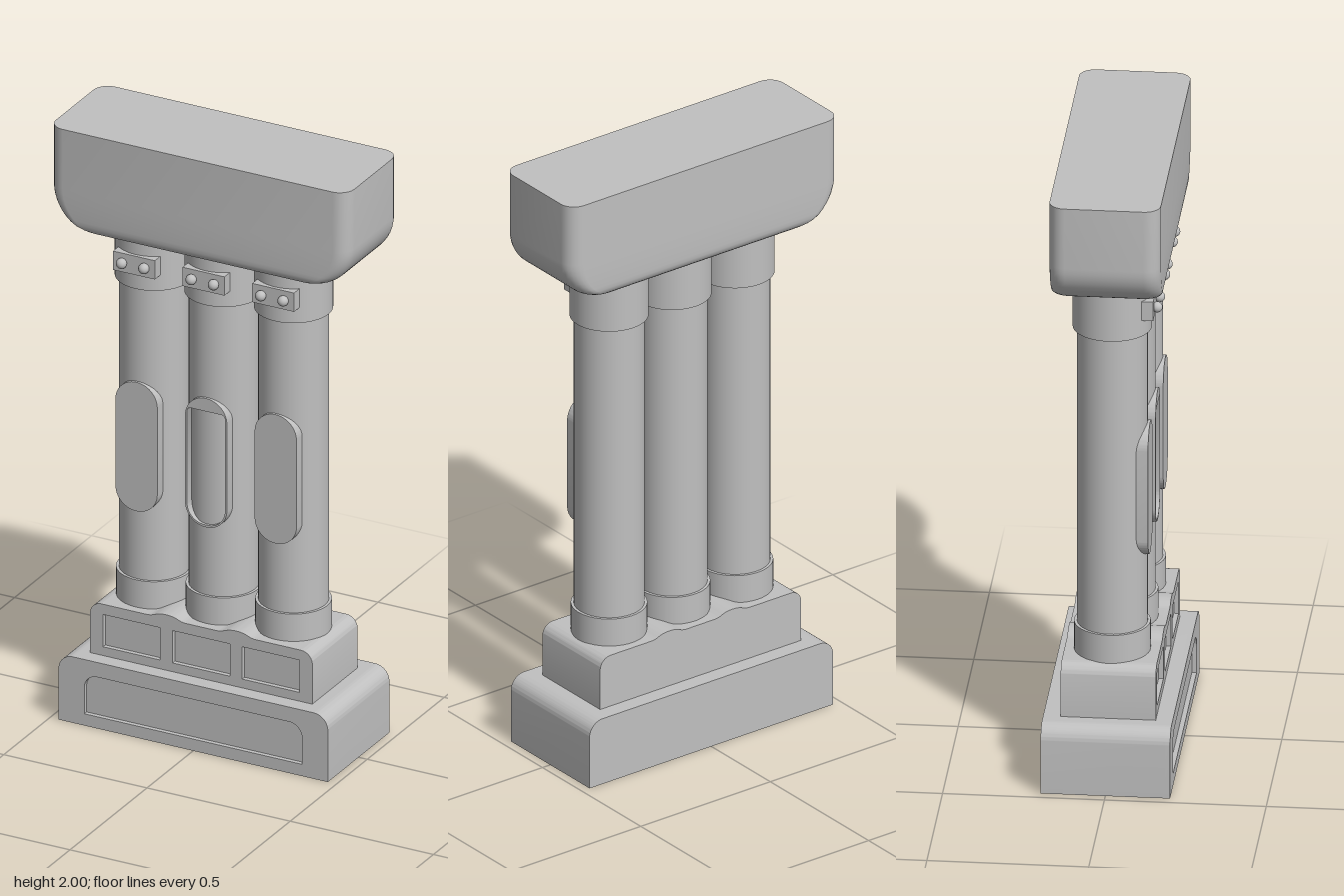
import * as THREE from 'three';
import { toCreasedNormals } from 'three/addons/utils/BufferGeometryUtils.js';

export function createModel() {
  const model = new THREE.Group();
  model.name = 'columnMonument';
  const stone = new THREE.MeshStandardMaterial({ color: 0xc0c0c0 });
  stone.name = 'grey stone';

  const add = (name, geometry, x = 0, y = 0, z = 0, parent = model) => {
    const mesh = new THREE.Mesh(geometry, stone);
    mesh.name = name;
    mesh.position.set(x, y, z);
    parent.add(mesh);
    return mesh;
  };

  // Rectangle path with separate top and bottom corner radii
  const roundRect = (path, x0, x1, y0, y1, top, bottom) => {
    path.moveTo(x0 + bottom, y0);
    path.lineTo(x1 - bottom, y0);
    if (bottom) path.absarc(x1 - bottom, y0 + bottom, bottom, -Math.PI / 2, 0);
    path.lineTo(x1, y1 - top);
    if (top) path.absarc(x1 - top, y1 - top, top, 0, Math.PI / 2);
    path.lineTo(x0 + top, y1);
    if (top) path.absarc(x0 + top, y1 - top, top, Math.PI / 2, Math.PI);
    path.lineTo(x0, y0 + bottom);
    if (bottom) path.absarc(x0 + bottom, y0 + bottom, bottom, Math.PI, Math.PI * 1.5);
    return path;
  };

  const extrude = (shape, z0, z1) => {
    const g = new THREE.ExtrudeGeometry(shape, { depth: z1 - z0, bevelEnabled: false, curveSegments: 14 });
    g.translate(0, 0, z0);
    return toCreasedNormals(g, 0.6);
  };

  // Solid body with a pierced front layer, giving recessed panels
  const panelled = (name, makeShape, holes, back, front, recess) => {
    add(name, extrude(makeShape(), back, front - recess));
    const face = makeShape();
    face.holes.push(...holes);
    add(name + 'Front', extrude(face, front - recess, front));
  };

  // Plinth
  panelled('plinth', () => roundRect(new THREE.Shape(), -0.47, 0.47, 0, 0.225, 0.05, 0),
    [roundRect(new THREE.Path(), -0.38, 0.38, 0.04, 0.175, 0.045, 0)], -0.2, 0.2, 0.015);

  // Upper step, with low swells between the columns
  const stepShape = () => {
    const s = new THREE.Shape();
    s.moveTo(-0.388, 0.225);
    s.lineTo(0.388, 0.225);
    s.lineTo(0.388, 0.36);
    s.absarc(0.348, 0.36, 0.04, 0, Math.PI / 2);
    for (const x of [0.122, -0.122]) {
      s.lineTo(x + 0.07, 0.4);
      s.bezierCurveTo(x + 0.04, 0.4, x + 0.04, 0.414, x, 0.414);
      s.bezierCurveTo(x - 0.04, 0.414, x - 0.04, 0.4, x - 0.07, 0.4);
    }
    s.lineTo(-0.348, 0.4);
    s.absarc(-0.348, 0.36, 0.04, Math.PI / 2, Math.PI);
    return s;
  };
  panelled('step', stepShape,
    [-0.243, 0, 0.243].map((x) => roundRect(new THREE.Path(), x - 0.1, x + 0.1, 0.255, 0.365, 0, 0)),
    -0.146, 0.148, 0.015);

  // Columns with collars, oval plates and studded brackets
  [-0.243, 0, 0.243].forEach((x, i) => {
    const column = new THREE.Group();
    column.name = ['rightColumn', 'middleColumn', 'leftColumn'][i];
    column.position.x = x;
    model.add(column);
    const drum = (name, r, y0, y1) =>
      add(name, new THREE.CylinderGeometry(r, r, y1 - y0, 48), 0, (y0 + y1) / 2, 0, column);
    drum('shaft', 0.109, 0.39, 1.67);
    drum('baseCollar', 0.118, 0.39, 0.493);
    drum('topCollar', 0.122, 1.487, 1.67);

    const plate = roundRect(new THREE.Shape(), -0.073, 0.073, 0.727, 1.166, 0.072, 0.072);
    if (i === 1) plate.holes.push(roundRect(new THREE.Path(), -0.066, 0.066, 0.735, 1.122, 0.012, 0.06));
    add('ovalPlate', extrude(plate, 0.06, 0.117), 0, 0, 0, column);

    add('bracket', new THREE.BoxGeometry(0.146, 0.064, 0.05), 0, 1.572, 0.108, column);
    for (const side of [-1, 1]) {
      add('stud', new THREE.SphereGeometry(0.017, 20, 14), side * 0.039, 1.573, 0.142, column);
    }
  });

  // Top block: rounded rectangles stacked upward, drawn in at the bottom
  const rings = [];
  const bottomY = 1.657, rx = 0.14, rz = 0.03, corner = 0.05, steps = 12, arc = 6;
  const inset = (r, h) => (h >= r ? 0 : r - Math.sqrt(r * r - (r - h) ** 2));
  for (let k = 0; k <= steps + 1; k++) {
    const h = k > steps ? 2 - bottomY : rx * (1 - Math.cos((k / steps) * Math.PI / 2));
    const w = 0.521 - inset(rx, h) - corner;
    const d = 0.172 - inset(rz, h) - corner;
    const ring = [];
    for (let q = 0; q < 4; q++) {
      const sx = q === 0 || q === 3 ? 1 : -1, sz = q < 2 ? 1 : -1;
      for (let j = 0; j <= arc; j++) {
        const a = (q + j / arc) * Math.PI / 2;
        ring.push([sx * w + corner * Math.cos(a), bottomY + h, sz * d + corner * Math.sin(a)]);
      }
    }
    rings.push(ring);
  }
  const n = rings[0].length, pos = [];
  const tri = (...points) => points.forEach((p) => pos.push(...p));
  const last = rings[rings.length - 1];
  for (let j = 0; j < n; j++) {
    const m = (j + 1) % n;
    for (let k = 0; k < rings.length - 1; k++) {
      const lo = rings[k], hi = rings[k + 1];
      tri(lo[j], hi[j], lo[m]);
      tri(lo[m], hi[j], hi[m]);
    }
    tri([0, bottomY, 0], rings[0][j], rings[0][m]);
    tri([0, 2, 0], last[m], last[j]);
  }
  const block = new THREE.BufferGeometry();
  block.setAttribute('position', new THREE.Float32BufferAttribute(pos, 3));
  add('topBlock', toCreasedNormals(block, 0.6));

  return model;
}
